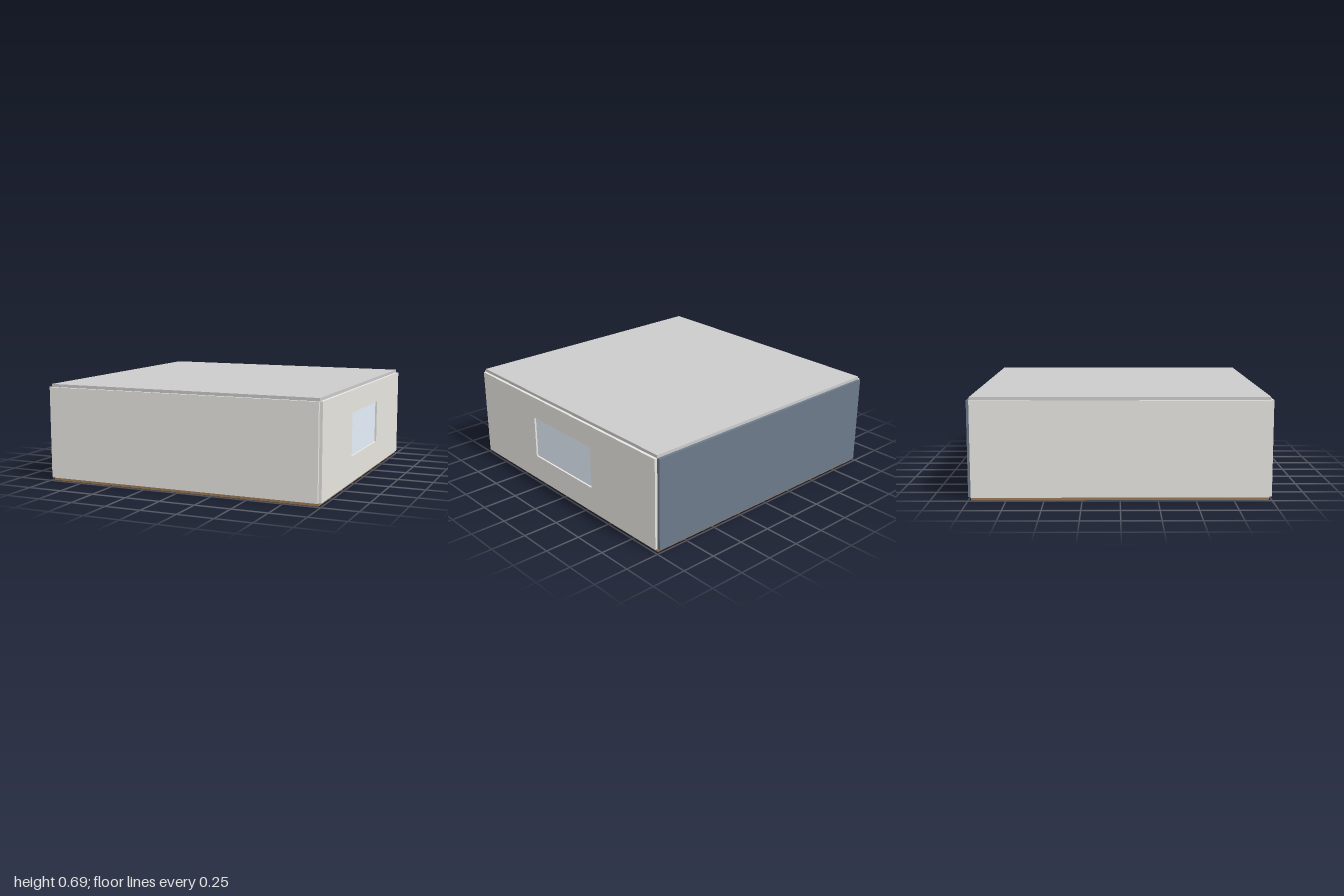
import * as THREE from 'three';

const T = 0.02;        // panel thickness
const IN = 0.98;       // inner half width of the room
const Y0 = 0.022, Y1 = 0.664; // bottom and top of the walls

const paint = (color) => new THREE.MeshStandardMaterial({ color });

function addPanel(group, name, size, position, material) {
  const mesh = new THREE.Mesh(new THREE.BoxGeometry(...size), material);
  mesh.name = name;
  mesh.position.set(...position);
  group.add(mesh);
  return mesh;
}

export function createModel() {
  const room = new THREE.Group();
  room.name = 'room';
  const plaster = paint(0xe8e6e1);
  const span = IN * 2, height = Y1 - Y0, midY = (Y0 + Y1) / 2, mid = IN + T / 2;

  // Floor and ceiling slabs
  addPanel(room, 'floor', [span, Y0, span], [0, Y0 / 2, 0], paint(0x9c7853));
  addPanel(room, 'ceiling', [span, 0.021, span], [0, Y1 + 0.0105, 0], paint(0xcccccc));

  // Solid walls, with the back one as the accent
  addPanel(room, 'frontWall', [span, height, T], [0, midY, mid], plaster);
  addPanel(room, 'backWall', [span, height, T], [0, midY, -mid], paint(0x6c7a89));
  addPanel(room, 'plainSideWall', [T, height, span], [-mid, midY, 0], plaster);

  // Side wall with a window opening, drawn in (-z, y) and turned to face +x
  const w = 0.325, sill = 0.205, head = 0.508;
  const outline = new THREE.Shape([
    new THREE.Vector2(-IN, Y0), new THREE.Vector2(IN, Y0),
    new THREE.Vector2(IN, Y1), new THREE.Vector2(-IN, Y1),
  ]);
  outline.holes.push(new THREE.Path([
    new THREE.Vector2(-w, sill), new THREE.Vector2(-w, head),
    new THREE.Vector2(w, head), new THREE.Vector2(w, sill),
  ]));
  const windowWall = new THREE.Mesh(
    new THREE.ExtrudeGeometry(outline, { depth: T, bevelEnabled: false }), plaster);
  windowWall.name = 'windowWall';
  windowWall.rotation.y = Math.PI / 2;
  windowWall.position.x = IN;
  room.add(windowWall);

  // Thin pane set back in the opening
  addPanel(room, 'windowPane', [0.004, head - sill, w * 2],
    [IN + 0.005, (sill + head) / 2, 0], paint(0xe6f0fa));

  return room;
}
